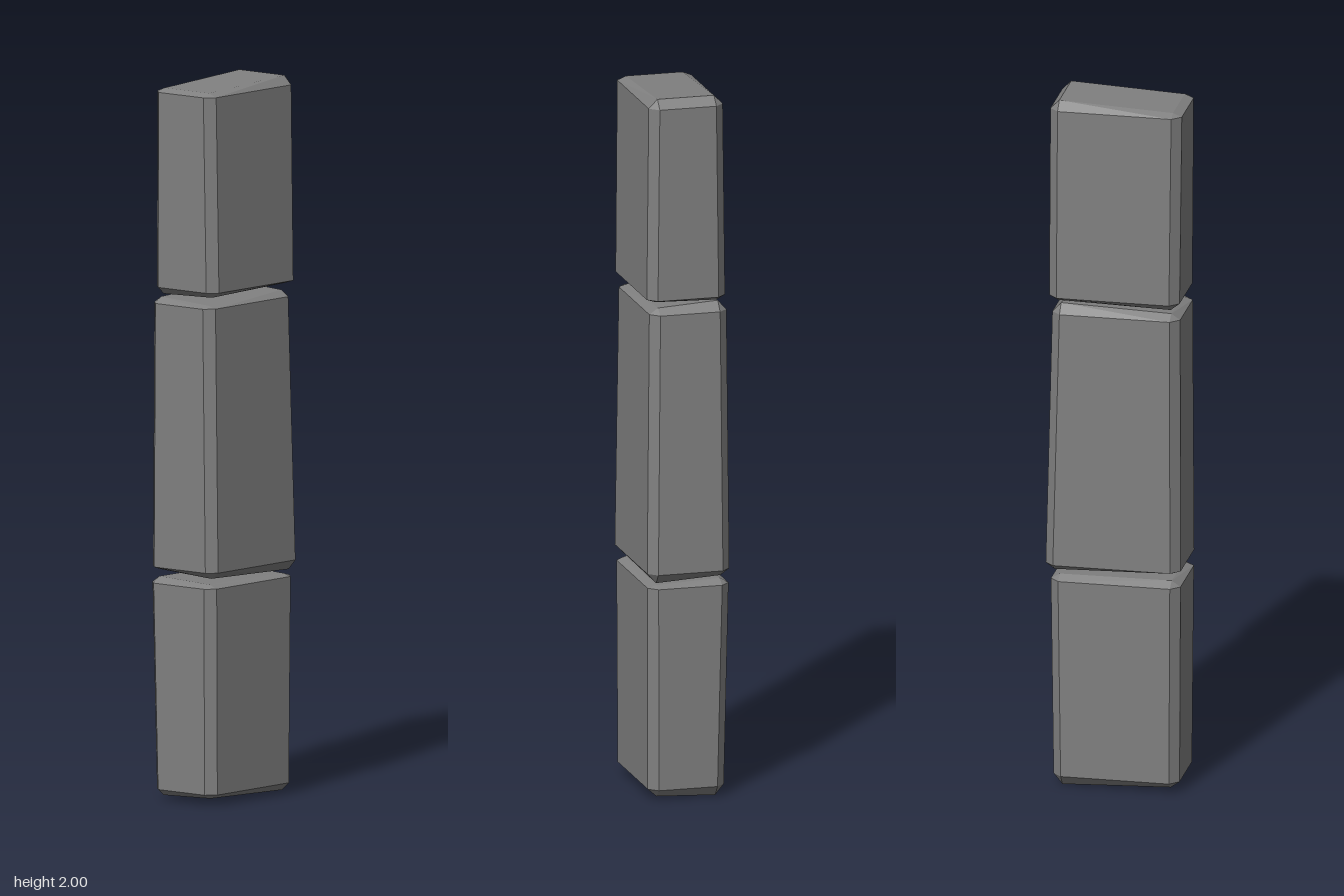
import * as THREE from 'three';
import { ConvexGeometry } from 'three/addons/geometries/ConvexGeometry.js';

const BEVEL = 0.025;

// Each ring: rect = [left x, right x, back z, front z]; y is the end of the upright faces;
// cap = heights of the end face at [back left x, back right x, front left x, front right x]
const blocks = [
  { name: 'lowerBlock',
    bottom: { rect: [-0.108, 0.11, -0.17, 0.185], y: 0.03, cap: [0, 0.008, 0.012, 0.018] },
    top: { rect: [-0.12, 0.112, -0.175, 0.19], y: 0.605, cap: [0.62, 0.612, 0.622, 0.615] } },
  { name: 'middleBlock',
    bottom: { rect: [-0.118, 0.117, -0.19, 0.19], y: 0.65, cap: [0.632, 0.622, 0.642, 0.632] },
    top: { rect: [-0.115, 0.106, -0.172, 0.188], y: 1.385, cap: [1.412, 1.402, 1.402, 1.392] } },
  { name: 'upperBlock',
    bottom: { rect: [-0.108, 0.116, -0.182, 0.185], y: 1.43, cap: [1.417, 1.422, 1.41, 1.415] },
    top: { rect: [-0.102, 0.11, -0.18, 0.19], y: 1.975, cap: [2, 2, 1.985, 1.985] } },
];

// Three points per corner: two on the upright faces, one on the end face
function ringPoints({ rect, y, cap }) {
  const points = [];
  for (let i = 0; i < 4; i++) {
    const right = i % 2, front = i >> 1;
    const x = rect[right], z = rect[2 + front];
    const xi = x + (right ? -BEVEL : BEVEL);
    const zi = z + (front ? -BEVEL : BEVEL);
    points.push(
      new THREE.Vector3(x, y, zi),
      new THREE.Vector3(xi, y, z),
      new THREE.Vector3(xi, cap[i], zi),
    );
  }
  return points;
}

export function createModel() {
  const group = new THREE.Group();
  group.name = 'stonePillar';
  const stone = new THREE.MeshStandardMaterial({ color: 0x808080 });
  stone.name = 'stone grey';

  // Stacked, slightly uneven bevelled blocks
  for (const { name, bottom, top } of blocks) {
    const geometry = new ConvexGeometry([...ringPoints(bottom), ...ringPoints(top)]);
    const mesh = new THREE.Mesh(geometry, stone);
    mesh.name = name;
    group.add(mesh);
  }
  return group;
}
